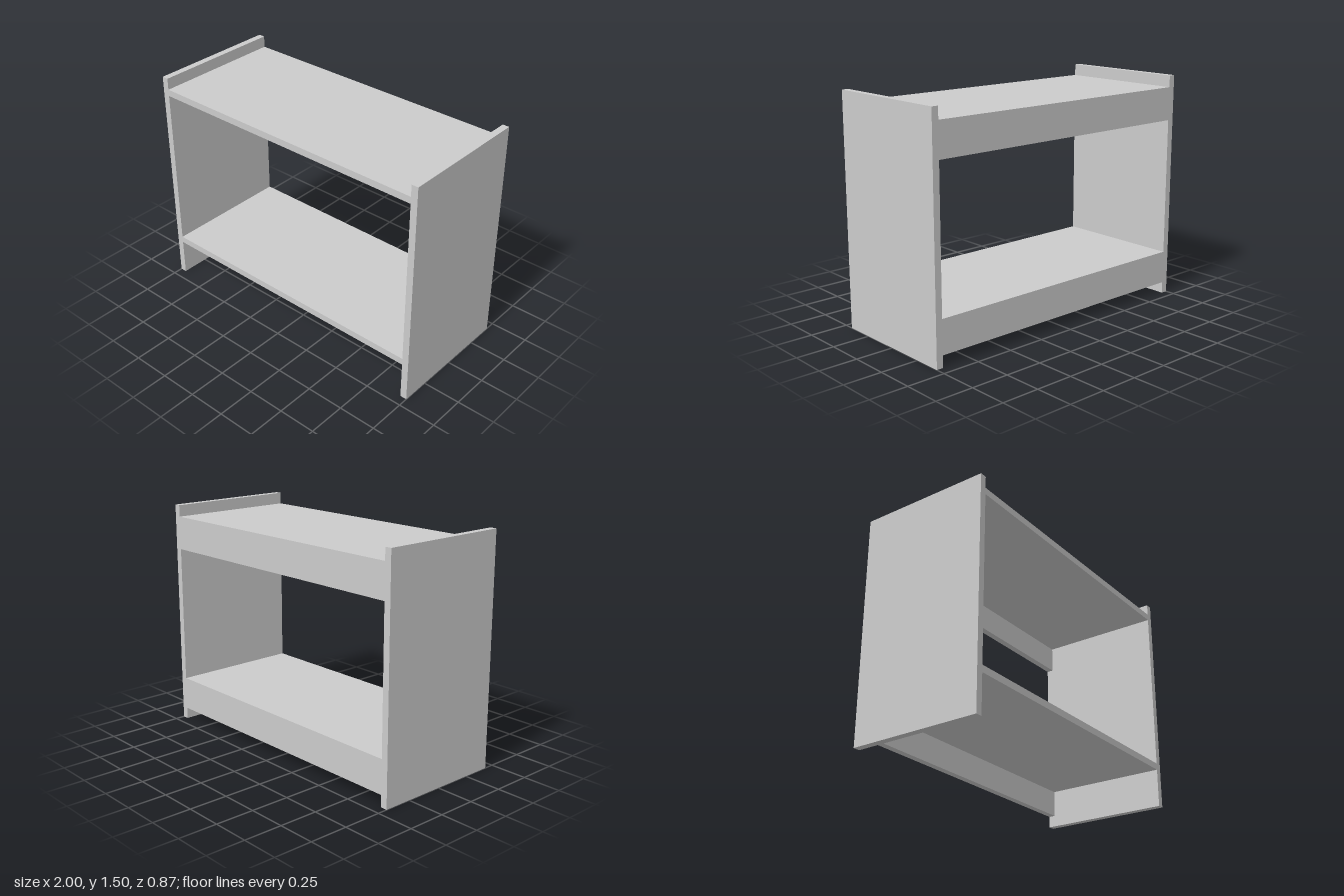
import * as THREE from 'three';

const DEPTH = 0.87;   // front to back
const HEIGHT = 1.5;
const BOARD = 0.044;  // board thickness
const INNER = 2 - 2 * BOARD;

export function createModel() {
  const group = new THREE.Group();
  const material = new THREE.MeshStandardMaterial({ color: 0xcccccc });

  const addBoard = (name, w, h, d, x, y, z) => {
    const mesh = new THREE.Mesh(new THREE.BoxGeometry(w, h, d), material);
    mesh.name = name;
    mesh.position.set(x, y, z);
    group.add(mesh);
  };

  // Full-height side panels
  for (const [name, s] of [['leftSidePanel', 1], ['rightSidePanel', -1]]) {
    addBoard(name, BOARD, HEIGHT, DEPTH, s * (1 - BOARD / 2), HEIGHT / 2, 0);
  }

  // Shelves, each with a stiffening rail under its back edge
  const railHeight = 0.175;
  for (const [name, top] of [['lower', 0.295], ['upper', 1.424]]) {
    addBoard(name + 'Shelf', INNER, BOARD, DEPTH, 0, top - BOARD / 2, 0);
    addBoard(name + 'BackRail', INNER, railHeight, BOARD,
      0, top - BOARD - railHeight / 2, -(DEPTH - BOARD) / 2);
  }

  return group;
}
